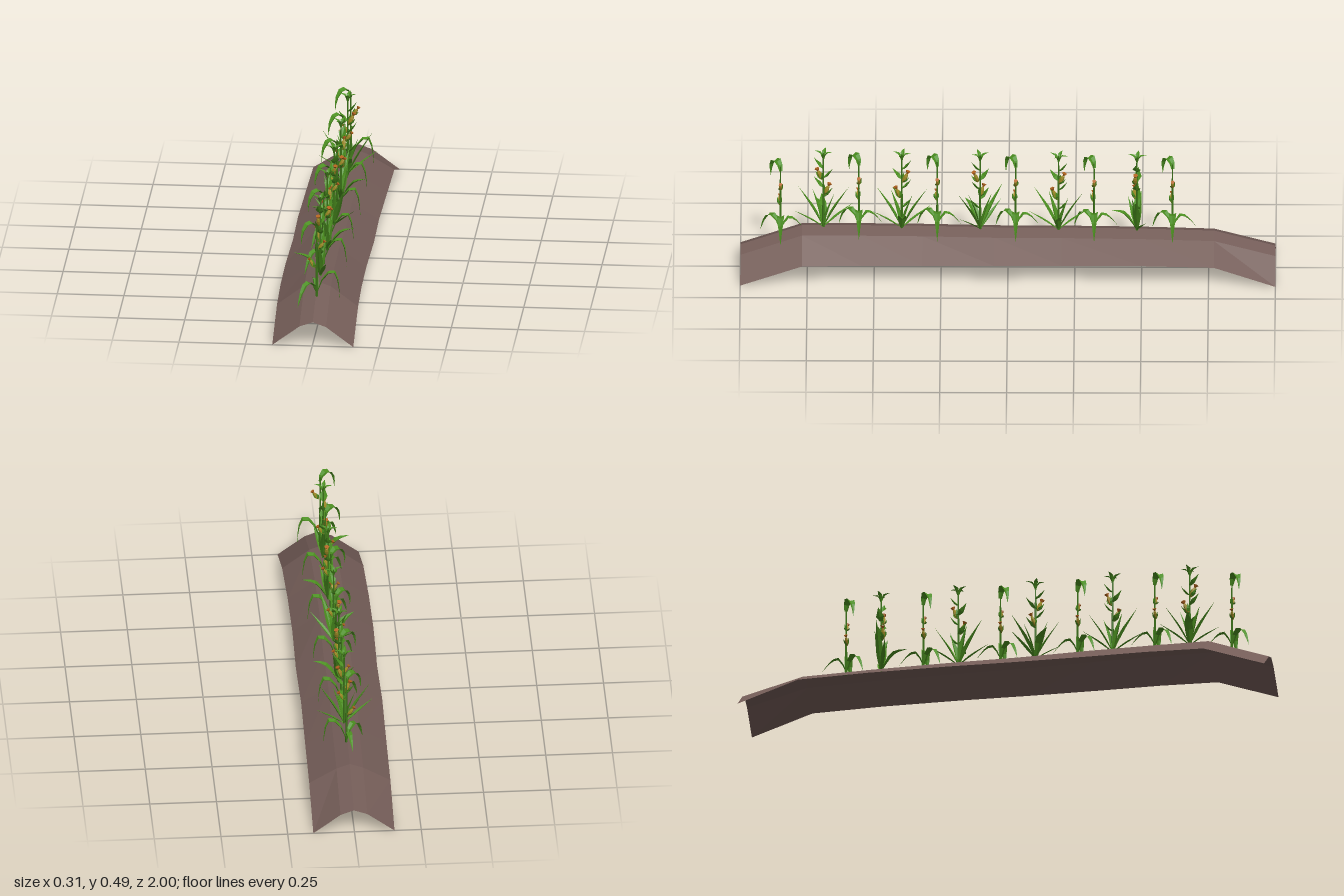
import * as THREE from 'three';

const mat = (color) => new THREE.MeshStandardMaterial({ color, side: THREE.DoubleSide, flatShading: true });
const soilMat = mat(0x735c57);
const leafMat = mat(0x4b8f1f);
const stemMat = mat(0x3c7319);
const cobMat = mat(0x9c8a25);
const silkMat = mat(0xb0621e);

// Ridge rows: [z, crest height, edge height, sideways shift]
const rows = [
  [-1, 0.094, 0, 0.002], [-0.77, 0.157, 0.08, 0.002], [-0.5, 0.163, 0.085, -0.001],
  [-0.2, 0.164, 0.083, -0.006], [0.05, 0.166, 0.082, -0.003], [0.32, 0.169, 0.079, -0.008],
  [0.55, 0.172, 0.081, -0.006], [0.77, 0.175, 0.08, 0], [1, 0.094, 0, 0.002],
];

function crestAt(z) {
  const i = Math.max(1, rows.findIndex((r) => r[0] >= z));
  const [a, b] = [rows[i - 1], rows[i]];
  return THREE.MathUtils.lerp(a[1], b[1], (z - a[0]) / (b[0] - a[0]));
}

// Surface through a grid of points, given as equal-length cross-sections
function loft(sections) {
  const n = sections[0].length;
  const index = [];
  for (let i = 0; i < sections.length - 1; i++) {
    for (let j = 0; j < n - 1; j++) {
      const a = i * n + j, b = a + n;
      index.push(a, b, a + 1, b, b + 1, a + 1);
    }
  }
  const g = new THREE.BufferGeometry();
  g.setAttribute('position', new THREE.Float32BufferAttribute(sections.flat(2), 3));
  g.setIndex(index);
  g.computeVertexNormals();
  return g;
}

function add(parent, name, geometry, material) {
  const m = new THREE.Mesh(geometry, material);
  m.name = name;
  parent.add(m);
  return m;
}

// Folded blade following a [distance, height] path, turned to a heading from +x towards +z
function addLeaf(parent, name, path, width, heading, segments = 6, widest = 0.4) {
  const curve = new THREE.CatmullRomCurve3(path.map(([r, y]) => new THREE.Vector3(r, y, 0)));
  const sections = [];
  for (let i = 0; i <= segments; i++) {
    const t = i / segments;
    const p = curve.getPoint(t), d = curve.getTangent(t);
    const w = width / 2 * (t < widest ? 0.35 + 0.65 * t / widest : (1 - t) / (1 - widest));
    const f = w * 0.45;
    const ex = p.x - d.y * f, ey = p.y + d.x * f;
    sections.push([[ex, ey, -w], [p.x, p.y, 0], [ex, ey, w]]);
  }
  add(parent, name, loft(sections), leafMat).rotation.y = -heading;
}

// Cob with two husk leaves and a silk tuft
function addCob(parent, x, y, z, lean, size) {
  const cob = new THREE.Group();
  cob.name = 'cob';
  cob.position.set(x, y, z);
  cob.rotation.z = lean;
  add(cob, 'kernels', new THREE.SphereGeometry(size, 6, 5).scale(0.38, 1, 0.38), cobMat);
  add(cob, 'silk', new THREE.ConeGeometry(size * 0.45, size * 0.7, 5).rotateX(Math.PI)
    .translate(0, size * 1.05, 0), silkMat);
  for (const a of [0.8, 3.9]) {
    addLeaf(cob, 'husk', [[0, -size], [size * 0.55, -size * 0.3], [size * 0.7, size * 0.7]], size * 0.9, a, 4);
  }
  parent.add(cob);
}

function addStem(parent, height) {
  add(parent, 'stem', new THREE.CylinderGeometry(0.0025, 0.005, height, 5)
    .translate(0, height / 2, 0), stemMat);
}

// Slender plant with a nodding top leaf
function noddingPlant() {
  const g = new THREE.Group();
  g.name = 'noddingPlant';
  addStem(g, 0.28);
  addLeaf(g, 'noddingLeaf', [[0, 0.26], [0.015, 0.29], [0.04, 0.288], [0.06, 0.255], [0.066, 0.215]], 0.036, 2.55);
  addLeaf(g, 'baseLeaf', [[0, 0.01], [0.035, 0.085], [0.065, 0.095], [0.08, 0.05], [0.087, -0.01]], 0.032, 0);
  addLeaf(g, 'baseLeaf', [[0, 0.01], [0.03, 0.06], [0.06, 0.055], [0.085, 0.015], [0.1, -0.02]], 0.03, 2.28);
  addLeaf(g, 'baseLeaf', [[0, 0.01], [0.03, 0.06], [0.06, 0.045], [0.09, 0.008]], 0.024, -1.78);
  addCob(g, 0.016, 0.2, 0, -0.6, 0.018);
  addCob(g, -0.015, 0.13, 0.004, 0.6, 0.018);
  return g;
}

// Bushy plant with sword leaves below and short leaves up the stem
function bushyPlant() {
  const g = new THREE.Group();
  g.name = 'bushyPlant';
  addStem(g, 0.31);
  for (const a of [0, Math.PI]) {
    addLeaf(g, 'swordLeaf', [[0, 0], [0.045, 0.085], [0.095, 0.17]], 0.03, a + 0.12);
    addLeaf(g, 'lowSwordLeaf', [[0, 0], [0.06, 0.045], [0.115, 0.085]], 0.018, a - 0.2);
    addLeaf(g, 'innerSwordLeaf', [[0, 0], [0.022, 0.08], [0.045, 0.15]], 0.028, a + 0.5);
  }
  addLeaf(g, 'sideLeaf', [[0, 0], [0.05, 0.07], [0.1, 0.09]], 0.035, Math.PI / 2);
  // Alternating stem leaves
  for (let i = 0; i < 5; i++) {
    const y = 0.085 + i * 0.04;
    addLeaf(g, 'stemLeaf', [[0, y], [0.018, y + 0.012], [0.036, y + 0.045]], 0.032,
      (i % 2) * Math.PI + 0.25, 4, 0.5);
  }
  addCob(g, -0.012, 0.15, 0.008, 0.4, 0.022);
  addCob(g, 0.012, 0.215, 0.008, -0.4, 0.022);
  // Crown
  for (let i = 0; i < 4; i++) {
    addLeaf(g, 'crownLeaf', [[0, 0.285], [0.014, 0.311], [0.036, 0.318]], 0.018, 0.3 + i * Math.PI / 2, 4);
  }
  return g;
}

export function createModel() {
  const model = new THREE.Group();
  model.name = 'cropRow';

  // Earth ridge, an open arched sheet
  const sections = rows.map(([z, crest, edge, dx]) => [
    [-0.152 + dx, edge, z], [-0.05 + dx, crest - 0.018, z], [dx, crest, z],
    [0.05 + dx, crest - 0.018, z], [0.152 + dx, edge, z],
  ]);
  add(model, 'earthRidge', loft(sections), soilMat);

  const place = (plant, z, turn) => {
    plant.position.set(0.004, crestAt(z) - 0.003, z);
    plant.rotation.y = turn;
    model.add(plant);
  };
  const nodding = noddingPlant();
  for (let i = 0; i < 6; i++) place(nodding.clone(), 0.85 - i * 0.293, 0);

  const bushy = bushyPlant();
  [-1.5, 1.6, -0.95, 1.45, 0.1].forEach((turn, i) => place(bushy.clone(), 0.69 - i * 0.293, turn));

  return model;
}
